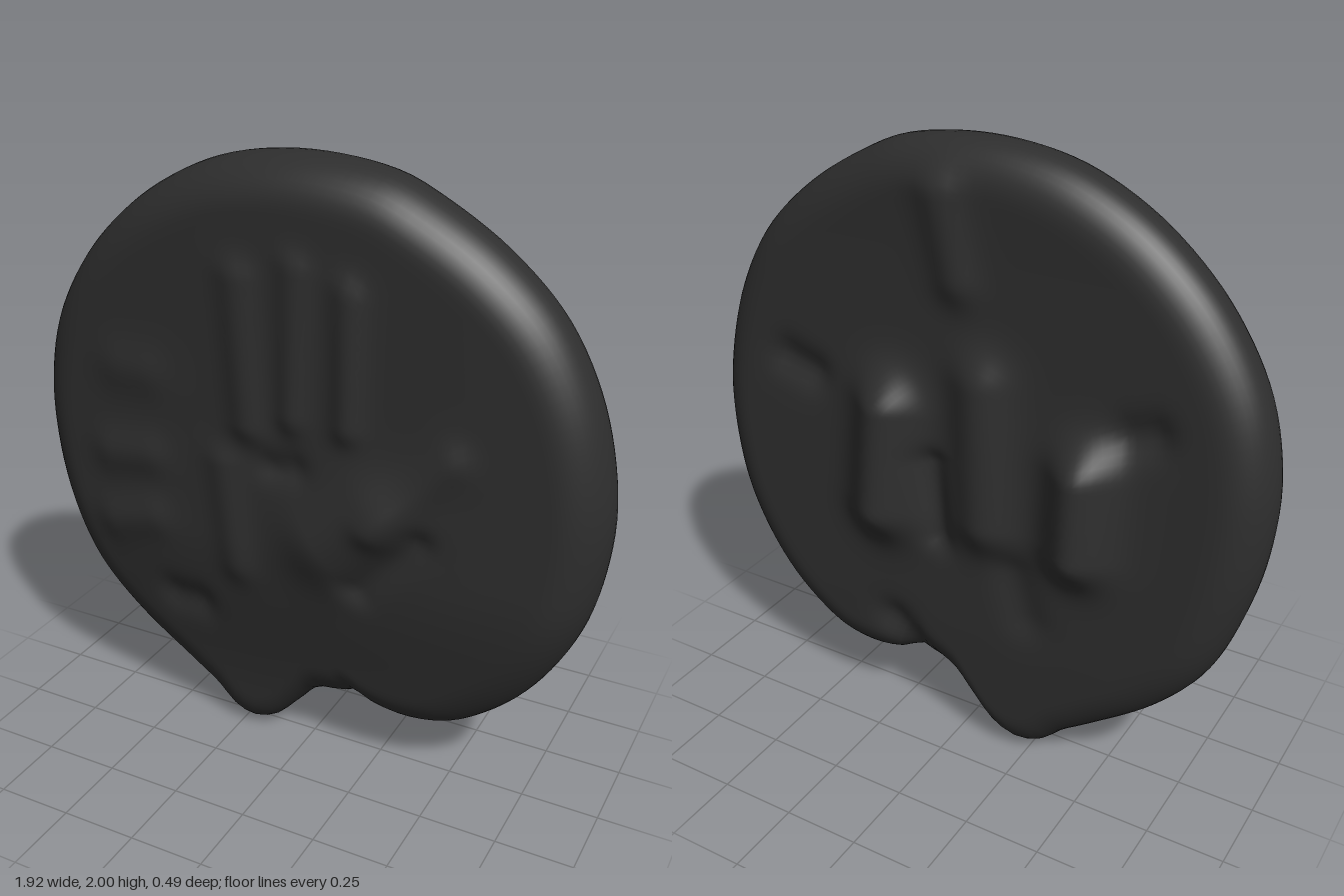
import * as THREE from 'three';

// Rim outline (x, y), counter-clockwise
const OUTLINE = [
  [0.955, 1.0], [0.94, 1.2], [0.88, 1.42], [0.77, 1.62], [0.6, 1.785], [0.4, 1.91], [0.26, 1.97], [0, 2.0],
  [-0.25, 1.97], [-0.43, 1.9], [-0.6, 1.79], [-0.77, 1.62], [-0.9, 1.4], [-0.955, 1.17], [-0.955, 0.97],
  [-0.92, 0.77], [-0.82, 0.5], [-0.67, 0.32], [-0.46, 0.16], [-0.36, 0.09], [-0.29, 0.025], [-0.22, 0.003],
  [-0.14, 0.03], [-0.06, 0.11], [0.03, 0.2], [0.13, 0.22], [0.18, 0.24], [0.26, 0.205], [0.36, 0.19],
  [0.47, 0.205], [0.55, 0.24], [0.7, 0.36], [0.82, 0.52], [0.91, 0.72],
];

// Soft ridges: x1, y1, x2, y2, width, height (negative = hollow)
const FRONT_RIDGES = [
  [0.12, 0.85, 0.28, 0.98, 0.13, 0.045],   // palm
  [0.3, 0.95, 0.52, 1.2, 0.06, 0.025],     // thumb
  [0.24, 0.72, 0.42, 0.92, 0.05, -0.03],   // hollow under the palm
  [-0.13, 1.2, -0.16, 1.65, 0.06, 0.025],  // fingers
  [0.02, 1.25, 0.03, 1.7, 0.05, 0.022],
  [0.2, 1.25, 0.2, 1.65, 0.05, 0.025],
  [-0.18, 0.7, -0.22, 1.05, 0.06, 0.02],
  [-0.65, 0.75, -0.5, 0.8, 0.07, 0.02],
  [-0.65, 1.0, -0.5, 1.02, 0.07, 0.02],
  [-0.6, 1.3, -0.5, 1.3, 0.08, 0.015],
  [-0.45, 0.5, -0.36, 0.5, 0.06, -0.025],
  [-0.05, 1.07, 0.02, 1.08, 0.05, -0.02],
];
const BACK_RIDGES = [
  [0.27, 0.82, 0.25, 1.16, 0.11, 0.105],   // large ridge
  [-0.42, 0.85, -0.42, 1.1, 0.1, 0.1],     // second ridge
  [-0.1, 0.85, -0.07, 1.3, 0.1, 0.055],    // middle ridge
  [0.02, 1.6, 0.08, 1.85, 0.07, 0.03],
  [0.07, 0.75, 0.1, 1.0, 0.05, -0.03],
  [0.55, 1.2, 0.65, 1.23, 0.06, -0.03],
  [-0.55, 1.25, -0.62, 1.27, 0.06, -0.03],
  [-0.25, 0.55, -0.2, 0.7, 0.07, -0.02],
  [0.12, 0.25, 0.24, 0.38, 0.06, -0.03],   // fold at the notch
];

function relief(x, y, ridges) {
  let sum = 0;
  for (const [x1, y1, x2, y2, width, height] of ridges) {
    const dx = x2 - x1, dy = y2 - y1;
    const t = THREE.MathUtils.clamp(((x - x1) * dx + (y - y1) * dy) / (dx * dx + dy * dy), 0, 1);
    const d2 = (x - x1 - t * dx) ** 2 + (y - y1 - t * dy) ** 2;
    sum += height * Math.exp(-d2 / (width * width));
  }
  return sum;
}

const step = THREE.MathUtils.smoothstep;
const frontZ = (x, y) => 0.1 + 0.09 * step(y, 0.1, 0.8) - 0.045 * x * x + relief(x, y, FRONT_RIDGES);
const backZ = (x, y) => -0.15 + 0.06 * step(y, 0.3, 1.8) - relief(x, y, BACK_RIDGES);
const middleZ = (y) => -0.015 + 0.045 * step(y, 0, 2);

// Closed disc made of rings: front centre -> rounded rim -> back centre
function discGeometry() {
  const segments = 144, rimSteps = 10, faceSteps = 36, rimWidth = 0.14;
  const centre = new THREE.Vector2(0, 1.05);
  const curve = new THREE.CatmullRomCurve3(OUTLINE.map(([x, y]) => new THREE.Vector3(x, y, 0)), true);
  const rim = curve.getSpacedPoints(segments).slice(0, segments);

  // Each ring: side, how far across the flat face, and the rim angle
  const rings = [];
  for (let i = 1; i <= faceSteps; i++) rings.push({ side: 1, flat: i / faceSteps, angle: Math.PI / 2 });
  for (let i = 1; i < rimSteps * 2; i++) {
    const angle = (1 - i / rimSteps) * Math.PI / 2;
    rings.push({ side: angle >= 0 ? 1 : -1, flat: 1, angle: Math.abs(angle) });
  }
  for (let i = faceSteps; i >= 1; i--) rings.push({ side: -1, flat: i / faceSteps, angle: Math.PI / 2 });

  const positions = [centre.x, centre.y, frontZ(centre.x, centre.y)];
  for (const { side, flat, angle } of rings) {
    for (const p of rim) {
      const radius = Math.hypot(p.x - centre.x, p.y - centre.y);
      const s = flat * (1 - rimWidth * (1 - Math.cos(angle)) / radius);
      const x = centre.x + (p.x - centre.x) * s, y = centre.y + (p.y - centre.y) * s;
      const face = side > 0 ? frontZ(x, y) : backZ(x, y);
      positions.push(x, y, THREE.MathUtils.lerp(middleZ(y), face, Math.sin(angle)));
    }
  }
  positions.push(centre.x, centre.y, backZ(centre.x, centre.y));

  const index = [], last = positions.length / 3 - 1;
  for (let j = 0; j < segments; j++) {
    const k = (j + 1) % segments;
    index.push(0, 1 + j, 1 + k);
    for (let r = 0; r < rings.length - 1; r++) {
      const a = 1 + r * segments, b = a + segments;
      index.push(a + j, b + j, b + k, a + j, b + k, a + k);
    }
    const end = 1 + (rings.length - 1) * segments;
    index.push(end + j, last, end + k);
  }
  const geometry = new THREE.BufferGeometry();
  geometry.setAttribute('position', new THREE.Float32BufferAttribute(positions, 3));
  geometry.setIndex(index);
  geometry.computeVertexNormals();
  return geometry;
}

export function createModel() {
  const group = new THREE.Group();
  group.name = 'mouldedDisc';
  const charcoal = new THREE.MeshStandardMaterial({ color: 0x2e2e2e });
  charcoal.name = 'charcoal';
  const disc = new THREE.Mesh(discGeometry(), charcoal);
  disc.name = 'disc';
  group.add(disc);
  return group;
}
